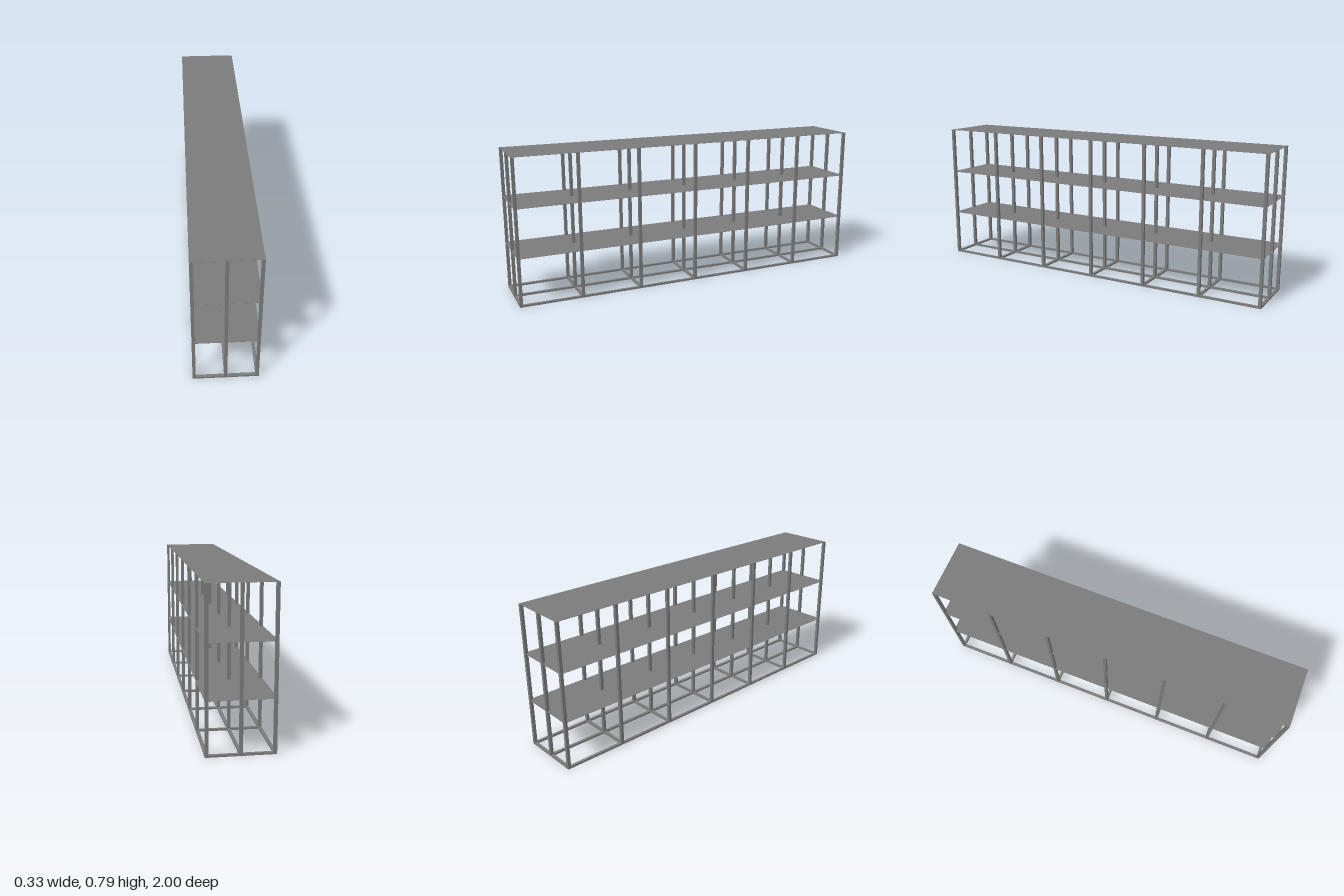
import * as THREE from 'three';

export function createModel() {
  const group = new THREE.Group();
  const metal = new THREE.MeshStandardMaterial({ color: 0x7b7b7b, flatShading: true });

  const width = 0.33, depth = 2, height = 0.785;
  const post = 0.016, railHeight = 0.01, sheet = 0.001;
  const xs = [-1, 0, 1].map(i => i * (width - post) / 2);
  const zs = [-3, -2, -1, 0, 1, 2, 3].map(i => i * (depth - post) / 6);

  function bar(name, w, h, d, x, y, z) {
    const mesh = new THREE.Mesh(new THREE.BoxGeometry(w, h, d), metal);
    mesh.name = name;
    mesh.position.set(x, y, z);
    group.add(mesh);
  }

  // upright posts, three across and seven along, ending under the top sheet
  const postHeight = height - sheet;
  for (const x of xs) for (const z of zs) bar('post', post, postHeight, post, x, postHeight / 2, z);

  // base rails between the posts
  for (const z of zs) {
    for (const side of [-1, 1]) {
      bar('crossRail', xs[2] - post, railHeight, post, side * xs[2] / 2, railHeight / 2, z);
    }
  }
  for (const x of xs) {
    for (let i = 0; i < zs.length - 1; i++) {
      bar('longRail', post, railHeight, zs[1] - zs[0] - post, x, railHeight / 2, (zs[i] + zs[i + 1]) / 2);
    }
  }

  // three thin shelf sheets, the highest closing the top
  for (let i = 1; i <= 3; i++) {
    bar(i === 3 ? 'topShelf' : 'shelf', width, sheet, depth, 0, height * i / 3 - sheet / 2, 0);
  }
  return group;
}
